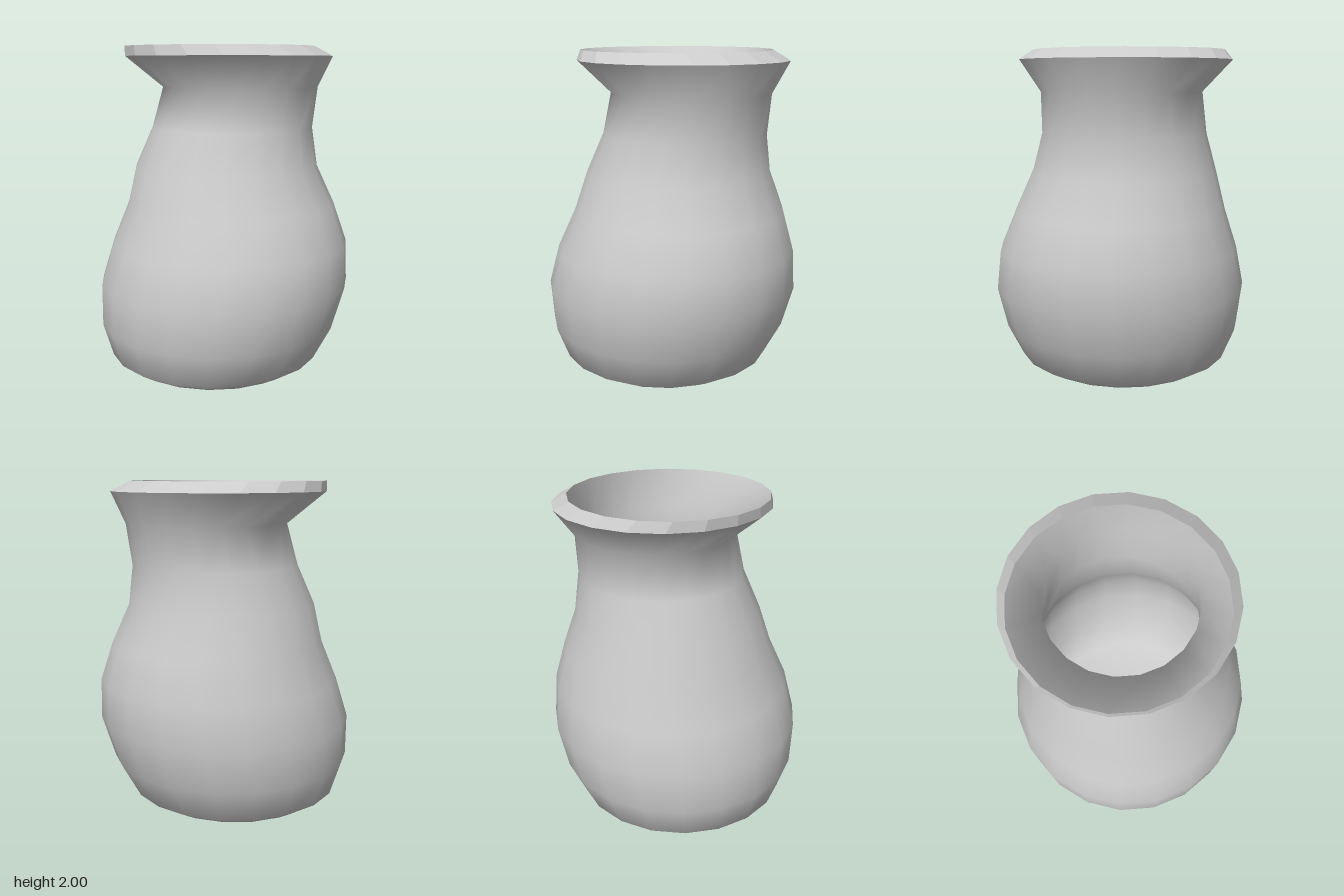
import * as THREE from 'three';

const SIDES = 20;

// Rings from base to rim: [height, radius, centre x, centre z]
const RINGS = [
  [0, 0.56, -0.07, 0],
  [0.065, 0.667, -0.065, 0],
  [0.27, 0.753, -0.04, 0],
  [0.53, 0.792, 0, 0],
  [0.78, 0.75, 0.037, -0.003],
  [1.02, 0.66, 0.05, -0.02],
  [1.26, 0.577, 0.025, -0.037],
  [1.5, 0.508, 0.067, -0.052],
  [1.75, 0.49, 0.12, -0.055],
  [1.94, 0.65, 0.045, -0.055],
  [2, 0.592, -0.015, -0.053],
];

// Skins a stack of rings; a ring of radius 0 closes the end to a point
function skin(rings) {
  const pos = [], index = [];
  for (const [y, r, cx, cz] of rings) {
    for (let i = 0; i < SIDES; i++) {
      const a = (i / SIDES) * Math.PI * 2;
      pos.push(cx + r * Math.sin(a), y, cz + r * Math.cos(a));
    }
  }
  for (let k = 0; k < rings.length - 1; k++) {
    for (let i = 0; i < SIDES; i++) {
      const j = (i + 1) % SIDES;
      const a = k * SIDES + i, b = k * SIDES + j;
      const c = b + SIDES, d = a + SIDES;
      if (rings[k][1] > 0) index.push(a, b, c);
      if (rings[k + 1][1] > 0) index.push(a, c, d);
    }
  }
  const g = new THREE.BufferGeometry();
  g.setAttribute('position', new THREE.Float32BufferAttribute(pos, 3));
  g.setIndex(index);
  g.computeVertexNormals();
  return g;
}

export function createModel() {
  const group = new THREE.Group();
  group.name = 'vase';

  const add = (name, rings, flatShading = false) => {
    const material = new THREE.MeshStandardMaterial({ color: 0xcccccc, flatShading });
    const mesh = new THREE.Mesh(skin(rings), material);
    mesh.name = name;
    group.add(mesh);
  };

  // Smooth leaning body, closed underneath
  add('body', [[0, 0, -0.07, 0], ...RINGS.slice(0, 10)]);

  // Faceted bevel round the mouth
  add('rim', RINGS.slice(9), true);

  // Inner wall, from the mouth down to the floor
  const wall = RINGS.slice(1, 9).map(([y, r, x, z]) => [y, r - 0.043, x, z]);
  add('interior', [RINGS[10], ...wall.reverse(), [0.05, 0, -0.06, 0.01]]);

  return group;
}
